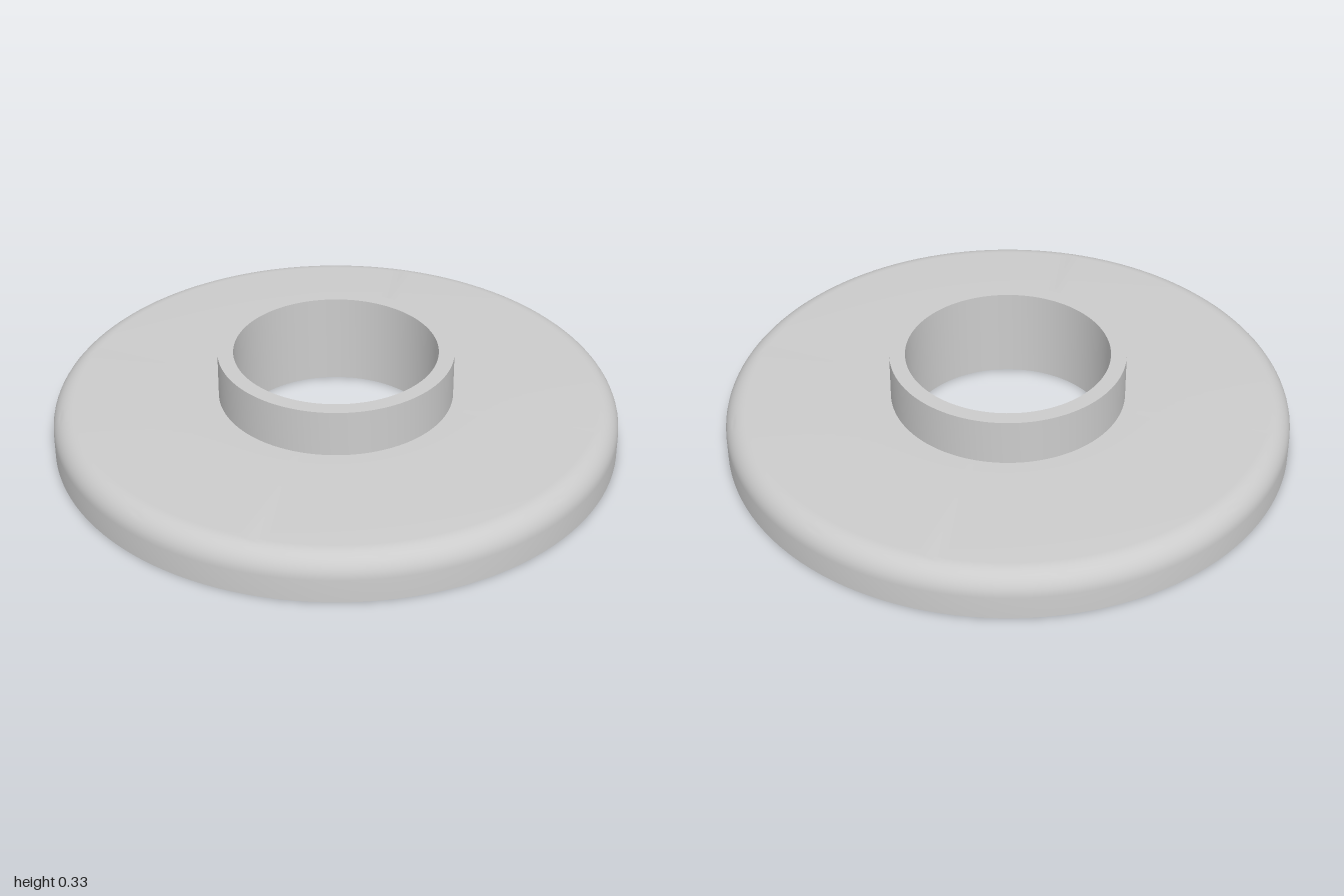
import * as THREE from 'three';
import { toCreasedNormals } from 'three/addons/utils/BufferGeometryUtils.js';

const BORE = 0.36, COLLAR = 0.415, RIM = 1;
const FLANGE_TOP = 0.165, COLLAR_TOP = 0.333, FILLET = 0.08;

export function createModel() {
  const group = new THREE.Group();
  const material = new THREE.MeshStandardMaterial({ color: 0xcccccc });

  // Closed cross-section: underside, rounded rim, flange top, collar, bore
  const profile = [new THREE.Vector2(BORE, 0), new THREE.Vector2(RIM, 0)];
  const steps = 10;
  for (let i = 0; i <= steps; i++) {
    const a = (i / steps) * Math.PI / 2;
    profile.push(new THREE.Vector2(
      RIM - FILLET + FILLET * Math.cos(a),
      FLANGE_TOP - FILLET + FILLET * Math.sin(a)
    ));
  }
  profile.push(
    new THREE.Vector2(COLLAR, FLANGE_TOP),
    new THREE.Vector2(COLLAR, COLLAR_TOP),
    new THREE.Vector2(BORE, COLLAR_TOP),
    new THREE.Vector2(BORE, 0)
  );

  // Smooth round surfaces, sharp corners
  const geometry = toCreasedNormals(new THREE.LatheGeometry(profile, 128), Math.PI / 6);
  const flange = new THREE.Mesh(geometry, material);
  flange.name = 'flangeWithCollar';
  group.add(flange);
  return group;
}
